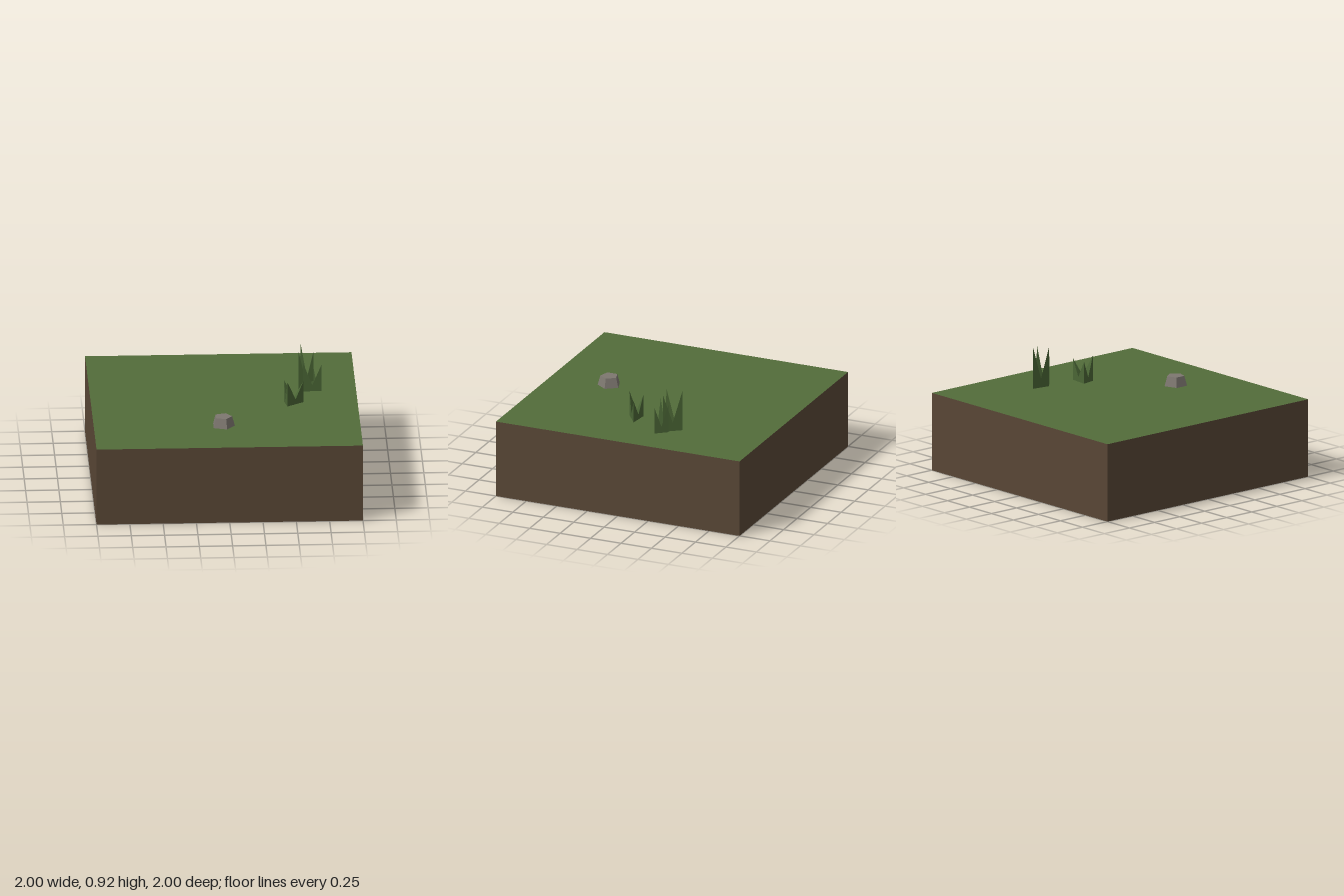
import * as THREE from 'three';

const GROUND = 0.6;

const mat = (name, color) => {
  const m = new THREE.MeshStandardMaterial({ color, flatShading: true });
  m.name = name;
  return m;
};

// A sharp blade: triangular foot, with the tip straight above its first corner.
function bladeGeometry(c, p, q, height) {
  const foot = [c, p, q].map(([x, z]) => new THREE.Vector3(x, GROUND, z));
  const tip = new THREE.Vector3(c[0], GROUND + height, c[1]);
  const points = [];
  for (let i = 0; i < 3; i++) points.push(foot[i], foot[(i + 1) % 3], tip);
  const g = new THREE.BufferGeometry().setFromPoints(points);
  g.computeVertexNormals();
  return g;
}

// Three blades rising from the corners of a triangle; each corner is [x, z, height],
// listed counterclockwise from above. Feet overlap slightly along the edges.
function grassTuft(name, corners, material) {
  const tuft = new THREE.Group();
  tuft.name = name;
  const reach = 0.64;
  const toward = (a, b) => [a[0] + (b[0] - a[0]) * reach, a[1] + (b[1] - a[1]) * reach];
  corners.forEach((c, i) => {
    const next = corners[(i + 1) % 3];
    const last = corners[(i + 2) % 3];
    const blade = new THREE.Mesh(bladeGeometry(c, toward(c, next), toward(c, last), c[2]), material);
    blade.name = 'grassBlade';
    tuft.add(blade);
  });
  return tuft;
}

export function createModel() {
  const model = new THREE.Group();
  model.name = 'grassyGroundTile';

  const soil = mat('soilBrown', 0x584635);
  const turf = mat('turfGreen', 0x526c3a);
  const blades = mat('bladeGreen', 0x4a6535);
  const stone = mat('stoneGrey', 0x7d7770);

  // Soil block with a turf top face
  const block = new THREE.Mesh(
    new THREE.BoxGeometry(2, GROUND, 2),
    [soil, soil, turf, soil, soil, soil]
  );
  block.name = 'groundBlock';
  block.position.y = GROUND / 2;
  model.add(block);

  // Five-sided rock
  const rock = new THREE.Mesh(
    new THREE.CylinderGeometry(0.068, 0.089, 0.075, 5, 1, false, Math.PI / 2),
    stone
  );
  rock.name = 'rock';
  rock.position.set(-0.03, GROUND + 0.0375, 0.527);
  model.add(rock);

  // Grass tufts
  model.add(
    grassTuft('tallTuft', [[0.59, -0.35, 0.32], [0.57, -0.21, 0.3], [0.68, -0.23, 0.29]], blades),
    grassTuft('midTuft', [[0.74, -0.185, 0.21], [0.67, -0.27, 0.22], [0.6, -0.175, 0.23]], blades),
    grassTuft('shortTuft', [[0.45, 0.035, 0.17], [0.47, 0.14, 0.195], [0.595, 0.05, 0.17]], blades)
  );

  return model;
}
